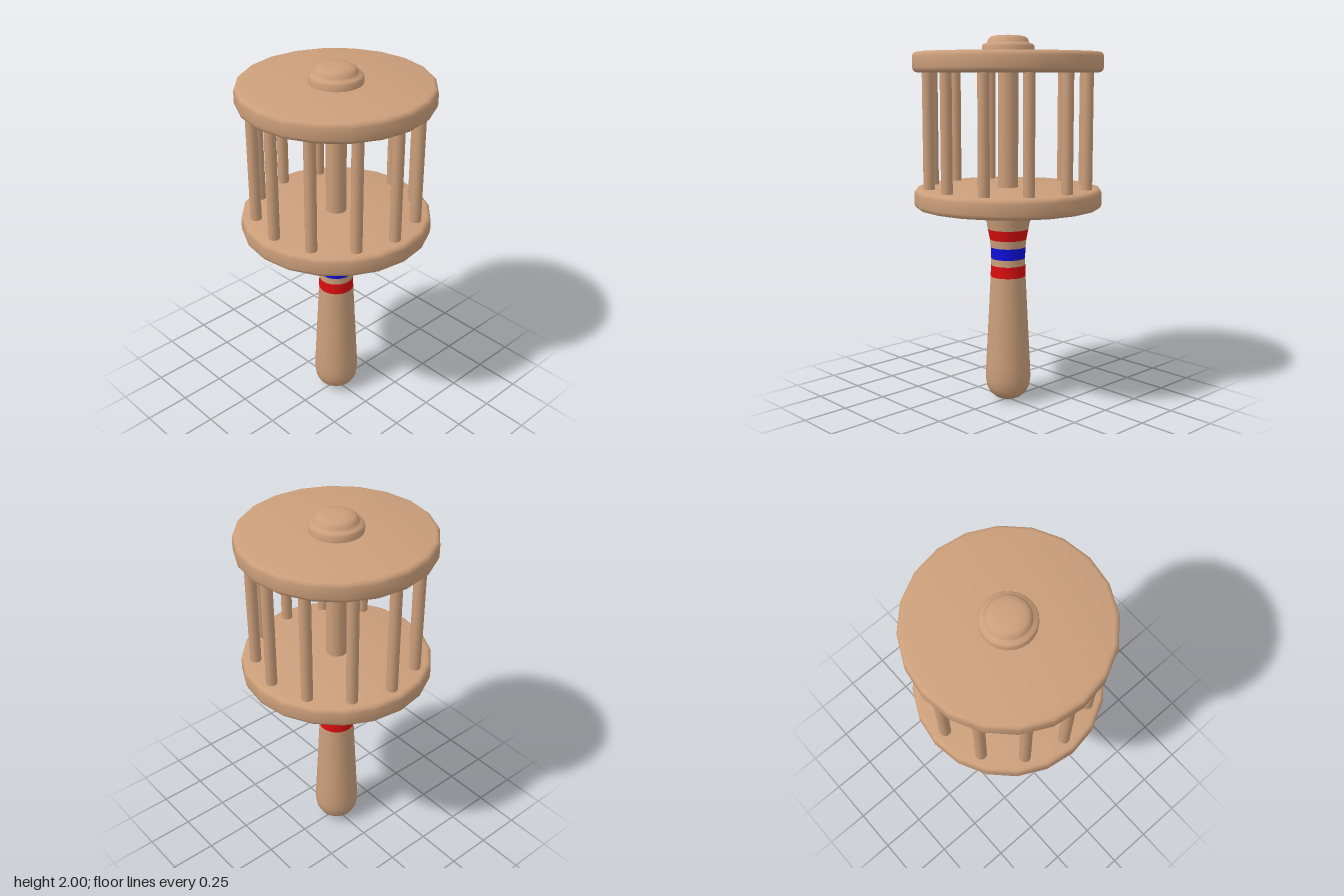
import * as THREE from 'three';
import { toCreasedNormals } from 'three/addons/utils/BufferGeometryUtils.js';

const wood = new THREE.MeshStandardMaterial({ name: 'wood', color: 0xcb9e7a });
const red = new THREE.MeshStandardMaterial({ name: 'red paint', color: 0xdc0e0e });
const blue = new THREE.MeshStandardMaterial({ name: 'blue paint', color: 0x0e0edc });

// Turned part from [radius, height] pairs, listed bottom to top
function turned(name, profile, material, segments = 20, crease = 0.75) {
  const points = profile.map(([r, y]) => new THREE.Vector2(r, y));
  const geometry = toCreasedNormals(new THREE.LatheGeometry(points, segments), crease);
  const mesh = new THREE.Mesh(geometry, material);
  mesh.name = name;
  return mesh;
}

function rod(name, radius, bottom, top, segments) {
  const geometry = new THREE.CylinderGeometry(radius, radius, top - bottom, segments);
  const mesh = new THREE.Mesh(geometry, wood);
  mesh.name = name;
  mesh.position.y = (bottom + top) / 2;
  return mesh;
}

// Twenty-sided disc with a softly rounded rim
function disc(name, bottom, top) {
  const R = 0.505, b = 0.025;
  const profile = [[0, bottom]];
  for (let i = 0; i <= 3; i++) {
    const a = (i / 3) * Math.PI / 2;
    profile.push([R - b + b * Math.sin(a), bottom + b - b * Math.cos(a)]);
  }
  for (let i = 0; i <= 3; i++) {
    const a = (i / 3) * Math.PI / 2;
    profile.push([R - b + b * Math.cos(a), top - b + b * Math.sin(a)]);
  }
  profile.push([0, top]);
  return turned(name, profile, wood);
}

export function createModel() {
  const model = new THREE.Group();
  model.name = 'cageRattle';

  // Handle, with painted bands following its taper
  const handle = new THREE.Group();
  handle.name = 'handle';
  handle.add(
    turned('handleGrip', [
      [0, 0], [0.035, 0.004], [0.07, 0.02], [0.1, 0.046], [0.118, 0.08],
      [0.125, 0.13], [0.122, 0.2], [0.109, 0.45], [0.096, 0.705],
    ], wood, 24),
    turned('lowerRedBand', [[0.096, 0.705], [0.094, 0.768]], red, 24),
    turned('lowerNeck', [[0.094, 0.768], [0.093, 0.805]], wood, 24),
    turned('blueBand', [[0.093, 0.805], [0.095, 0.867]], blue, 24),
    turned('upperNeck', [[0.095, 0.867], [0.1, 0.91]], wood, 24),
    turned('upperRedBand', [[0.1, 0.91], [0.111, 0.967]], red, 24),
    turned('handleFlare', [[0.111, 0.967], [0.136, 1.1]], wood, 24),
  );
  model.add(handle);

  // End discs of the cage
  model.add(disc('lowerDisc', 1.088, 1.195), disc('upperDisc', 1.805, 1.912));

  // Centre shaft and ring of bars
  model.add(rod('centreShaft', 0.055, 1.18, 1.82, 20));
  const bars = new THREE.Group();
  bars.name = 'cageBars';
  for (let i = 0; i < 12; i++) {
    const a = (i / 12) * Math.PI * 2;
    const bar = rod('cageBar', 0.03, 1.18, 1.82, 16);
    bar.position.x = 0.43 * Math.sin(a);
    bar.position.z = 0.43 * Math.cos(a);
    bars.add(bar);
  }
  model.add(bars);

  // Stepped knob on top
  model.add(turned('topKnob', [
    [0.138, 1.905], [0.138, 1.943], [0.131, 1.953], [0.115, 1.957],
    [0.109, 1.965], [0.104, 1.98], [0.09, 1.991], [0.06, 1.997], [0, 2],
  ], wood, 24, 0.9));

  return model;
}
